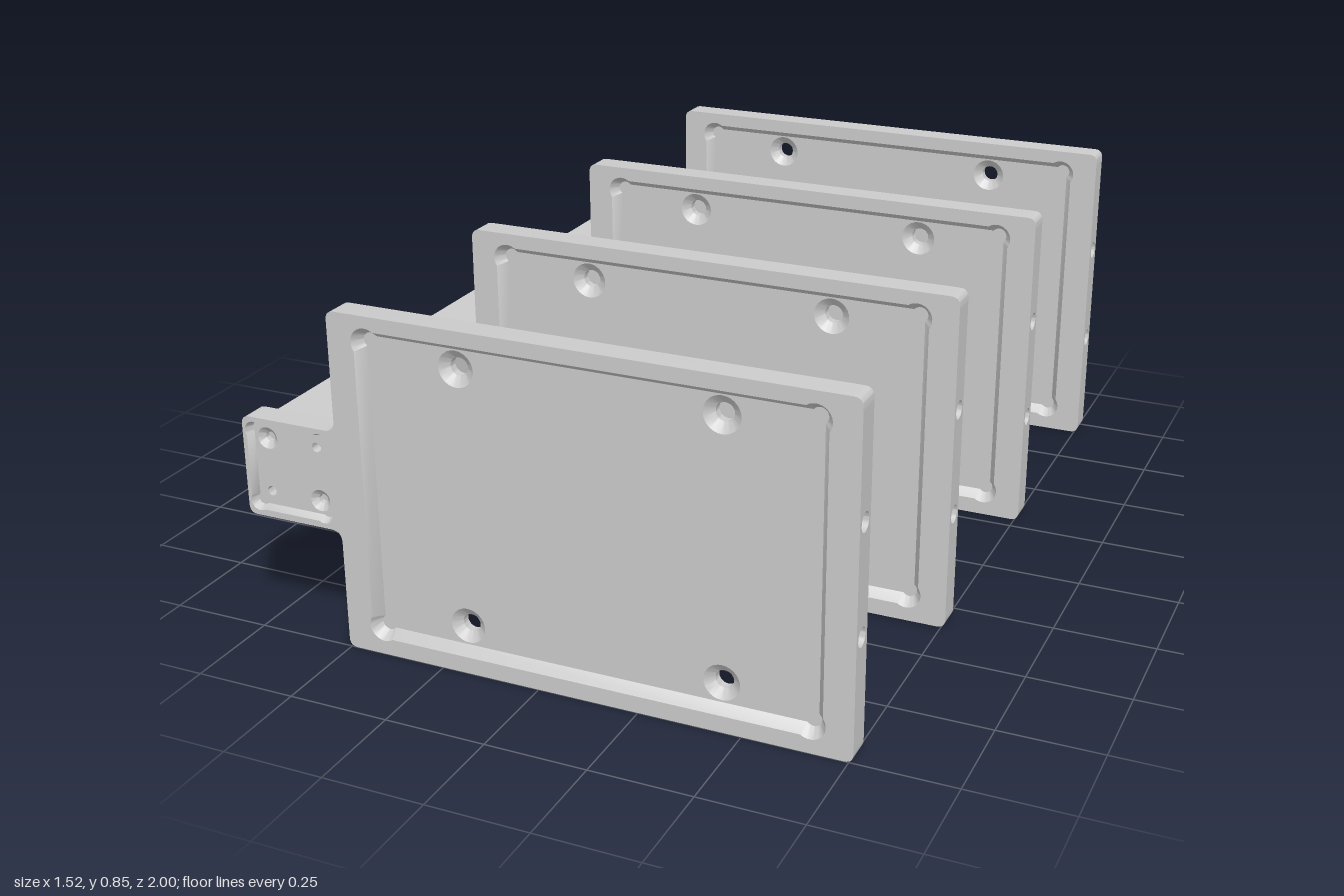
import * as THREE from 'three';
import { toCreasedNormals } from 'three/addons/utils/BufferGeometryUtils.js';

const grey = new THREE.MeshStandardMaterial({ color: 0xcccccc });
const greyThin = new THREE.MeshStandardMaterial({ color: 0xcccccc, side: THREE.DoubleSide });
const HALF = 0.0325;   // half plate thickness
const FLOOR = 0.005;   // large pocket floor
const WEB = 0.0125;    // half thickness of the tab web
const TAB = { x: -0.64, y: 0.425 };

function add(group, name, geometry, material = grey) {
  const mesh = new THREE.Mesh(geometry, material);
  mesh.name = name;
  group.add(mesh);
  return mesh;
}

// Closed polygon with corner radii, points as [x, y, radius]
function roundedPolygon(points) {
  const shape = new THREE.Shape();
  const n = points.length;
  points.forEach(([x, y, r], i) => {
    const p = new THREE.Vector2(x, y);
    const toward = (q) => new THREE.Vector2(q[0], q[1]).sub(p).setLength(r).add(p);
    const a = toward(points[(i + n - 1) % n]), b = toward(points[(i + 1) % n]);
    if (i === 0) shape.moveTo(a.x, a.y); else shape.lineTo(a.x, a.y);
    if (r > 0) shape.quadraticCurveTo(x, y, b.x, b.y);
  });
  shape.closePath();
  return shape;
}

function circle(x, y, r, n = 28) {
  return Array.from({ length: n }, (_, i) => {
    const a = (i / n) * Math.PI * 2;
    return new THREE.Vector2(x + r * Math.cos(a), y + r * Math.sin(a));
  });
}

// Rectangle with relieved corners, inset by t
function pocketLoop({ x, y, w, h, d, r }, t = 0) {
  const loop = [], over = Math.acos((d - t) / (r - t)), steps = 12;
  [[1, 1], [-1, 1], [-1, -1], [1, -1]].forEach(([sx, sy], k) => {
    for (let i = 0; i <= steps; i++) {
      const a = k * Math.PI / 2 - over + (i / steps) * (Math.PI / 2 + 2 * over);
      loop.push(new THREE.Vector2(
        x + sx * (w - d) + (r - t) * Math.cos(a),
        y + sy * (h - d) + (r - t) * Math.sin(a)));
    }
  });
  return loop;
}

// Sloped band joining two matching loops
function loft(loopA, zA, loopB, zB) {
  const pos = [], index = [], n = loopA.length;
  loopA.forEach((p) => pos.push(p.x, p.y, zA));
  loopB.forEach((p) => pos.push(p.x, p.y, zB));
  for (let i = 0; i < n; i++) {
    const j = (i + 1) % n;
    index.push(i, n + i, j, j, n + i, n + j);
  }
  const g = new THREE.BufferGeometry();
  g.setAttribute('position', new THREE.Float32BufferAttribute(pos, 3));
  g.setIndex(index);
  g.computeVertexNormals();
  return toCreasedNormals(g, 0.6);
}

function slab(shape, holes, z0, z1) {
  const s = shape.clone();
  s.holes = holes.map((pts) => new THREE.Path(pts));
  const g = new THREE.ExtrudeGeometry(s, { depth: z1 - z0, bevelEnabled: false, curveSegments: 6 });
  return toCreasedNormals(g.translate(0, 0, z0), 0.6);
}

function createPlate() {
  const plate = new THREE.Group();

  // Panel outline with side tab and a slot for the drilled edge bar
  const outline = roundedPolygon([
    [0.76, 0, 0.022], [0.76, 0.03, 0], [0.71, 0.03, 0], [0.71, 0.815, 0], [0.76, 0.815, 0],
    [0.76, 0.845, 0.022], [-0.505, 0.845, 0.022], [-0.505, 0.55, 0.028], [-0.76, 0.55, 0.022],
    [-0.76, 0.3, 0.022], [-0.505, 0.3, 0.028], [-0.505, 0, 0.022],
  ]);

  const pocket = { x: 0.126, y: 0.4255, w: 0.563, h: 0.384, d: 0.03, r: 0.037 };
  const tabPocket = { ...TAB, w: 0.109, h: 0.109, d: 0.02, r: 0.024 };
  const main = pocketLoop(pocket), tab = pocketLoop(tabPocket);

  const screws = [];
  for (const x of [-0.194, 0.442]) for (const y of [0.108, 0.744]) screws.push([x, y]);
  const tabScrews = [[-0.706, 0.493], [-0.571, 0.358]];
  const tabPins = [[-0.571, 0.493], [-0.706, 0.358]];
  const holes = (list, r) => list.map(([x, y]) => circle(x, y, r));
  const small = holes(tabPins, 0.012);
  const sunk = holes(tabScrews, 0.027);

  // Stacked layers of the plate, back to front
  const layers = [
    ['backLayer', -HALF, -WEB, [...holes(screws, 0.022), tab]],
    ['webLayer', -WEB, 0, [...holes(screws, 0.044), ...small, ...holes(tabScrews, 0.012)]],
    ['floorLayer', 0, FLOOR, [...holes(screws, 0.044), ...small, ...sunk]],
    ['lowerRim', FLOOR, WEB, [main, ...small, ...sunk]],
    ['upperRim', WEB, HALF, [main, tab]],
  ];
  for (const [name, z0, z1, cut] of layers) add(plate, name, slab(outline, cut, z0, z1));

  // Sloped pocket walls
  add(plate, 'pocketWall', loft(main, HALF, pocketLoop(pocket, 0.018), FLOOR), greyThin);
  const tabInner = pocketLoop(tabPocket, 0.008);
  add(plate, 'tabPocketWallFront', loft(tab, HALF, tabInner, WEB), greyThin);
  add(plate, 'tabPocketWallBack', loft(tab, -HALF, tabInner, -WEB), greyThin);

  // Countersinks
  for (const [x, y] of screws)
    add(plate, 'countersink', loft(circle(x, y, 0.044), FLOOR, circle(x, y, 0.022), -WEB), greyThin);
  for (const [x, y] of tabScrews)
    add(plate, 'tabCountersink', loft(circle(x, y, 0.027), WEB, circle(x, y, 0.012), 0), greyThin);

  // Edge bar with two blind holes
  const bar = roundedPolygon([[-HALF, 0.03, 0], [HALF, 0.03, 0], [HALF, 0.815, 0], [-HALF, 0.815, 0]]);
  const barGeo = slab(bar, [circle(0, 0.29, 0.023), circle(0, 0.558, 0.023)], 0.71, 0.76);
  add(plate, 'edgeBar', barGeo.rotateY(Math.PI / 2));
  return plate;
}

export function createModel() {
  const model = new THREE.Group();
  model.name = 'plateRack';
  const spacing = 0.645, first = -0.9675;

  const plate = createPlate();
  for (let i = 0; i < 4; i++) {
    const p = plate.clone();
    p.name = 'plate';
    p.position.z = first + i * spacing;
    model.add(p);
  }

  // Square spacer beams seated in the tab pockets
  const beam = new THREE.BoxGeometry(0.2, 0.2, spacing - 2 * WEB);
  for (let i = 0; i < 3; i++)
    add(model, 'spacerBeam', beam).position.set(TAB.x, TAB.y, first + (i + 0.5) * spacing);
  return model;
}
